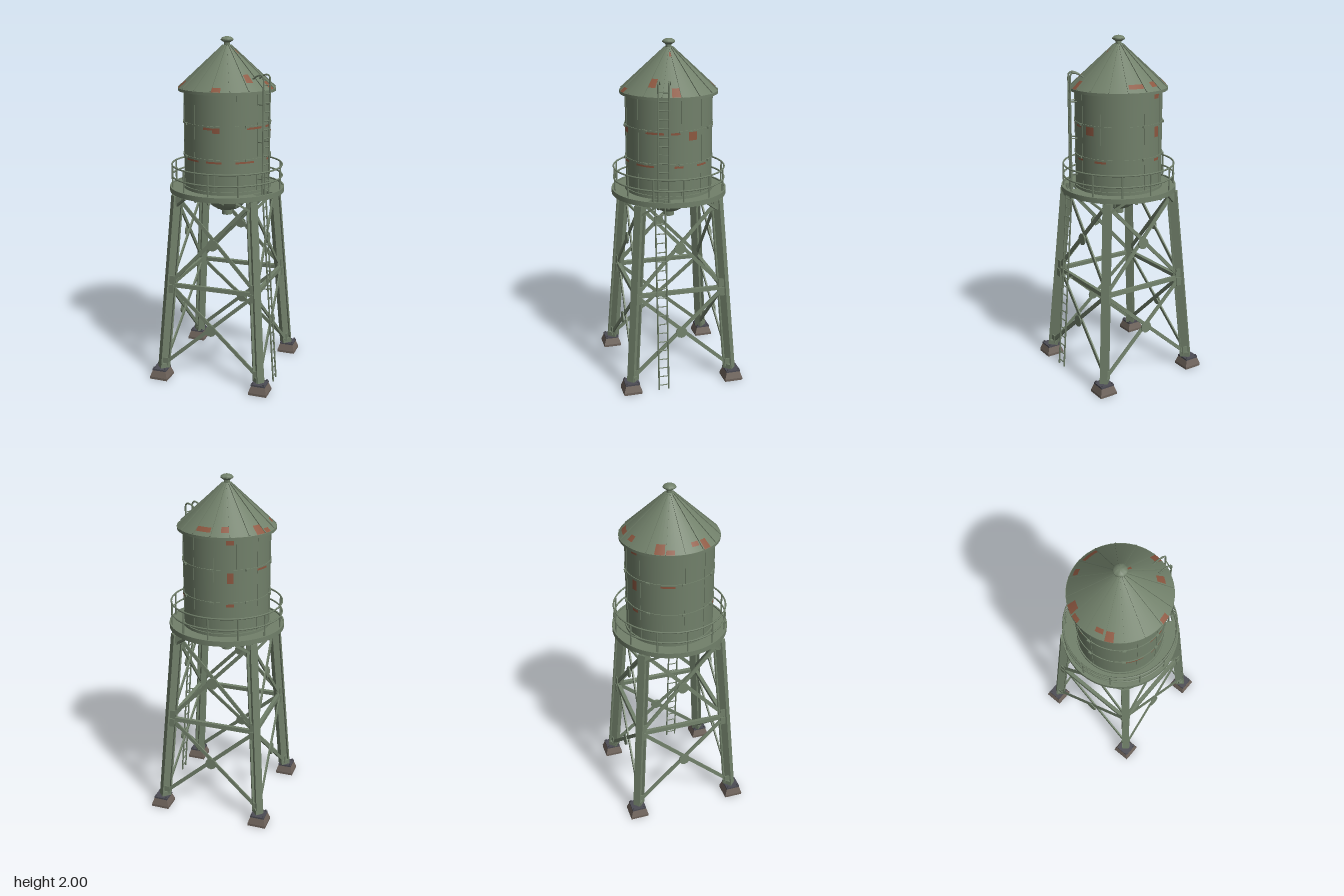
import * as THREE from 'three';
import { toCreasedNormals } from 'three/addons/utils/BufferGeometryUtils.js';

const V = (x, y, z) => new THREE.Vector3(x, y, z);
const RAD = Math.PI / 180;

export function createModel() {
  const root = new THREE.Group();
  const mat = (name, color, side = THREE.FrontSide) => {
    const m = new THREE.MeshStandardMaterial({ color, side });
    m.name = name;
    return m;
  };
  const green = mat('weathered green', 0x71806a);
  const concrete = mat('concrete', 0x6e635b);
  const steel = mat('dark steel', 0x4c4c54);
  const rust = mat('rust', 0x8c5740);

  const group = (name) => {
    const g = new THREE.Group();
    g.name = name;
    root.add(g);
    return g;
  };
  const add = (parent, name, geo, m, x = 0, y = 0, z = 0) => {
    const mesh = new THREE.Mesh(geo, m);
    mesh.name = name;
    mesh.position.set(x, y, z);
    parent.add(mesh);
    return mesh;
  };
  // Box running from a to b; its depth d points along ref
  const beam = (parent, name, a, b, w, d, ref, m = green) => {
    const dir = b.clone().sub(a);
    const mesh = add(parent, name, new THREE.BoxGeometry(w, dir.length(), d), m);
    dir.normalize();
    const side = dir.clone().cross(ref).normalize();
    const depth = side.clone().cross(dir);
    mesh.quaternion.setFromRotationMatrix(new THREE.Matrix4().makeBasis(side, dir, depth));
    mesh.position.copy(a).add(b).multiplyScalar(0.5);
    return mesh;
  };
  const rod = (parent, name, a, b, r, m = green) => {
    const dir = b.clone().sub(a);
    const mesh = add(parent, name, new THREE.CylinderGeometry(r, r, dir.length(), 6), m);
    mesh.quaternion.setFromUnitVectors(V(0, 1, 0), dir.normalize());
    mesh.position.copy(a).add(b).multiplyScalar(0.5);
    return mesh;
  };
  const polar = (deg, r, y) => V(Math.cos(deg * RAD) * r, y, Math.sin(deg * RAD) * r);
  // Thin curved plate around the axis, from radius r0 at y0 up to r1 at y1
  const patch = (parent, name, deg, half, r0, y0, r1, y1, m = rust) =>
    add(parent, name, new THREE.CylinderGeometry(r1, r0, y1 - y0, 8, 1, true,
      (90 - deg - half) * RAD, 2 * half * RAD), m, 0, (y0 + y1) / 2, 0);
  const legX = (y) => 0.297 - (y - 0.06) * 0.07;

  // Footings, base plates and legs
  for (const sx of [-1, 1]) for (const sz of [-1, 1]) {
    const leg = group('legAssembly');
    const cx = sx * 0.308, cz = sz * 0.308;
    const foot = new THREE.CylinderGeometry(0.058, 0.0764, 0.038, 4, 1).rotateY(Math.PI / 4).toNonIndexed();
    foot.computeVertexNormals();
    add(leg, 'footingSlab', new THREE.BoxGeometry(0.108, 0.014, 0.108), concrete, cx, 0.007, cz);
    add(leg, 'footing', foot, concrete, cx, 0.033, cz);
    add(leg, 'basePlate', new THREE.BoxGeometry(0.084, 0.01, 0.084), steel, cx, 0.057, cz);
    for (const bx of [-1, 1]) for (const bz of [-1, 1])
      add(leg, 'anchorBolt', new THREE.CylinderGeometry(0.005, 0.005, 0.01, 6), steel,
        cx + bx * 0.033, 0.066, cz + bz * 0.033);
    const out = V(sx, 0, sz).normalize();
    const at = (y, o) => V(sx * legX(y), y, sz * legX(y)).addScaledVector(out, o);
    for (const o of [-0.025, 0.025])
      beam(leg, 'legFlange', at(0.06, o), at(1.113, o), 0.044, 0.009, out);
    beam(leg, 'legWeb', at(0.06, 0), at(1.113, 0), 0.014, 0.046, out);
    add(leg, 'legShoe', new THREE.BoxGeometry(0.05, 0.03, 0.05).rotateY(Math.PI / 4), green,
      sx * legX(0.07), 0.075, sz * legX(0.07));
    // Knee braces out to the platform edge
    beam(leg, 'kneeBrace', at(1.05, 0), V(sx * 0.285, 1.112, sz * 0.15), 0.012, 0.012, out);
    beam(leg, 'kneeBrace', at(1.05, 0), V(sx * 0.15, 1.112, sz * 0.285), 0.012, 0.012, out);
  }

  // Bracing on each of the four sides
  for (let i = 0; i < 4; i++) {
    const side = group('sideBracing');
    side.rotation.y = i * Math.PI / 2;
    const p = (s, y, o = 0) => V(s * (legX(y) - 0.01), y, legX(y) + o);
    const n = V(0, 0.07, 1).normalize();
    beam(side, 'horizontalStrut', p(-1, 0.577), p(1, 0.577), 0.024, 0.022, n);
    for (const [y0, y1, yc] of [[0.09, 0.565, 0.33], [0.6, 1.09, 0.842]]) {
      beam(side, 'crossBrace', p(-1, y0, 0.006), p(1, y1, 0.006), 0.021, 0.009, n);
      beam(side, 'crossBrace', p(1, y0, -0.006), p(-1, y1, -0.006), 0.021, 0.009, n);
      const disc = add(side, 'crossGusset', new THREE.CylinderGeometry(0.034, 0.034, 0.008, 12),
        green, 0, yc, legX(yc) + 0.013);
      disc.rotation.x = Math.PI / 2 - 0.07;
      for (const s of [-1, 1]) for (const y of [y0 + 0.01, y1 - 0.01]) {
        const g = p(s, y, 0.012);
        beam(side, 'endGusset', g.clone().add(V(0, -0.025, 0)), g.clone().add(V(0, 0.025, 0)), 0.035, 0.006, n);
      }
    }
  }

  // Platform with ladder hatch, rim and under-beams
  const platform = group('platform');
  const deck = new THREE.Shape().absarc(0, 0, 0.33, 0, Math.PI * 2);
  const hatch = new THREE.Path();
  hatch.absarc(0, 0, 0.312, 13 * RAD, 37 * RAD, false);
  hatch.absarc(0, 0, 0.258, 37 * RAD, 13 * RAD, true);
  hatch.closePath();
  deck.holes.push(hatch);
  add(platform, 'deck', new THREE.ExtrudeGeometry(deck, { depth: 0.018, bevelEnabled: false, curveSegments: 48 })
    .rotateX(Math.PI / 2), green, 0, 1.136, 0);
  const rim = [[0.326, 1.113], [0.335, 1.113], [0.335, 1.143], [0.326, 1.143], [0.326, 1.113]];
  add(platform, 'deckRim', toCreasedNormals(new THREE.LatheGeometry(rim.map(([r, y]) => new THREE.Vector2(r, y)), 64), 0.6), green);
  for (let i = 0; i < 12; i++)
    beam(platform, 'deckBeam', polar(i * 30 + 15, 0.1, 1.11), polar(i * 30 + 15, 0.32, 1.11), 0.012, 0.018, V(0, 1, 0));

  // Railing
  const railing = group('railing');
  for (const y of [1.27, 1.205])
    add(railing, 'handrail', new THREE.TorusGeometry(0.322, 0.005, 6, 64).rotateX(Math.PI / 2), green, 0, y, 0);
  for (let i = 0; i < 12; i++)
    rod(railing, 'railPost', polar(i * 30, 0.322, 1.13), polar(i * 30, 0.322, 1.27), 0.005);

  // Tank shell, bands and plate seams
  const tank = group('tank');
  add(tank, 'shell', new THREE.CylinderGeometry(0.25, 0.25, 0.575, 64), green, 0, 1.4225, 0);
  add(tank, 'bottomFlange', new THREE.CylinderGeometry(0.257, 0.257, 0.016, 64), green, 0, 1.148, 0);
  for (const y of [1.335, 1.522])
    add(tank, 'hoop', new THREE.CylinderGeometry(0.2545, 0.2545, 0.009, 64), green, 0, y, 0);
  for (let i = 0; i < 12; i++)
    beam(tank, 'seam', polar(i * 30 + 28, 0.25, 1.15), polar(i * 30 + 28, 0.25, 1.7), 0.006, 0.005, polar(i * 30 + 28, 1, 0));
  // Hoop clamps
  for (let i = 0; i < 8; i++) for (const y of [1.335, 1.522])
    beam(tank, 'hoopClamp', polar(i * 45, 0.25, y), polar(i * 45, 0.262, y), 0.02, 0.012, V(0, 1, 0));
  // Rust plates on the shell: angle, half width, centre height, height
  for (const [a, half, y, h] of [
    [91, 11, 1.511, 0.014], [85, 5, 1.496, 0.018], [122, 12, 1.322, 0.011], [88, 10, 1.322, 0.011],
    [33, 12, 1.511, 0.012], [6, 6, 1.511, 0.012], [343, 6, 1.493, 0.048], [47, 13, 1.322, 0.011],
    [2, 6, 1.322, 0.012], [328, 8, 1.322, 0.012], [247, 4, 1.48, 0.06], [247, 5, 1.322, 0.016],
    [247, 5, 1.682, 0.03], [200, 9, 1.511, 0.012]])
    patch(tank, 'rustPatch', a, half, 0.2532, y - h / 2, 0.2532, y + h / 2);

  // Bowl bottom and outlet pipe
  const bowl = [[0.03, 0.998], [0.065, 1.005], [0.095, 1.025], [0.118, 1.058], [0.13, 1.09], [0.134, 1.122]];
  add(tank, 'bowl', new THREE.LatheGeometry(bowl.map(([r, y]) => new THREE.Vector2(r, y)), 48), green);
  add(tank, 'outletPipe', new THREE.CylinderGeometry(0.031, 0.031, 0.04, 24), green, 0, 0.986, 0);
  add(tank, 'outletFlange', new THREE.CylinderGeometry(0.038, 0.038, 0.01, 24), green, 0, 0.997, 0);
  for (let i = 0; i < 4; i++)
    beam(tank, 'bowlBracket', polar(i * 90 + 45, 0.118, 1.03), polar(i * 90 + 45, 0.145, 1.112), 0.014, 0.014, polar(i * 90 + 45, 1, 0));

  // Conical roof with ribs and finial
  const roof = group('roof');
  const roofY = (r) => 1.715 + (0.278 - r) * 0.918;
  add(roof, 'eave', new THREE.CylinderGeometry(0.28, 0.28, 0.016, 64), green, 0, 1.707, 0);
  add(roof, 'cone', new THREE.CylinderGeometry(0.02, 0.278, roofY(0.02) - 1.715, 64, 1, true), green, 0, (roofY(0.02) + 1.715) / 2, 0);
  for (let i = 0; i < 16; i++)
    beam(roof, 'rib', polar(i * 22.5, 0.276, roofY(0.276)), polar(i * 22.5, 0.024, roofY(0.024)), 0.007, 0.01, V(0, 1, 0));
  const finial = [[0.027, 1.935], [0.027, 1.948], [0.017, 1.952], [0.017, 1.966], [0.024, 1.97],
    [0.036, 1.978], [0.036, 1.984], [0.028, 1.993], [0.015, 1.998], [0, 2]];
  add(roof, 'finial', toCreasedNormals(new THREE.LatheGeometry(finial.map(([r, y]) => new THREE.Vector2(r, y)), 24), 0.7), green);
  // Rust plates on the roof: angle, half width, inner and outer radius
  for (const [a, half, r1, r0] of [
    [253, 5, 0.228, 0.255], [281, 10, 0.234, 0.257], [209, 6, 0.232, 0.276], [197, 5, 0.255, 0.276],
    [165, 5, 0.232, 0.252], [152, 5, 0.234, 0.276], [6, 5, 0.23, 0.276], [39, 6, 0.185, 0.23],
    [84, 5.5, 0.252, 0.277], [7, 7, 0.045, 0.07]])
    patch(roof, 'roofRust', a, half, r0 + 0.003, roofY(r0), r1 + 0.003, roofY(r1));

  // Ladders
  const ladder = (name, a, b, across, count) => {
    const g = group(name);
    const o = across.clone().multiplyScalar(0.029);
    for (const s of [-1, 1])
      rod(g, 'stile', a.clone().addScaledVector(o, s), b.clone().addScaledVector(o, s), 0.005);
    for (let i = 0; i < count; i++) {
      const c = a.clone().lerp(b, (i + 0.5) / count);
      rod(g, 'rung', c.clone().sub(o), c.clone().add(o), 0.0035);
    }
    return g;
  };
  const lower = ladder('lowerLadder', V(0.343, 0, 0.12), V(0.264, 1.14, 0.12), V(0, 0, 1), 21);
  for (const z of [0.091, 0.149])
    rod(lower, 'ladderTie', V(0.262, 0.577, z), V(0.303, 0.577, z), 0.004);

  const A = 20.5, across = polar(A + 90, 1, 0);
  const upper = ladder('upperLadder', polar(A, 0.284, 1.13), polar(A, 0.284, 1.77), across, 13);
  for (const s of [-0.029, 0.029]) {
    const pt = (r, y) => polar(A, r, y).addScaledVector(across, s);
    const hook = new THREE.CatmullRomCurve3([pt(0.284, 1.765), pt(0.281, 1.79), pt(0.268, 1.8), pt(0.24, 1.795), pt(0.208, 1.775)]);
    add(upper, 'grabHook', new THREE.TubeGeometry(hook, 14, 0.005, 6), green);
    for (const y of [1.22, 1.43, 1.64])
      rod(upper, 'standoff', pt(0.245, y), pt(0.284, y), 0.004);
  }
  return root;
}
